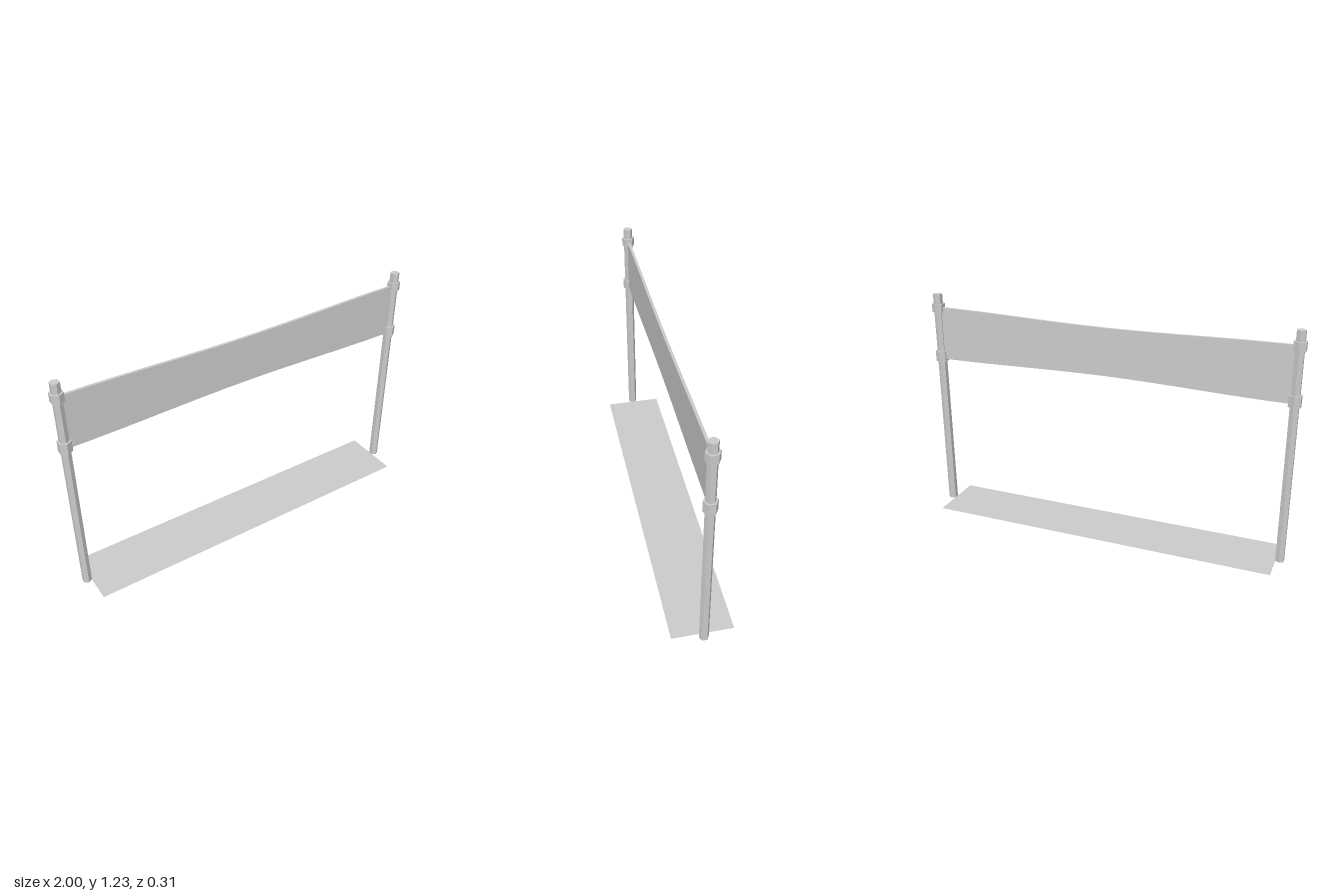
import * as THREE from 'three';

const POLE_X = 0.97;

export function createModel() {
  const model = new THREE.Group();
  const grey = new THREE.MeshStandardMaterial({ color: 0xcccccc, flatShading: true });
  const thin = new THREE.MeshStandardMaterial({ color: 0xcccccc, side: THREE.DoubleSide });

  const add = (name, geometry, material, x, y, parent = model) => {
    const mesh = new THREE.Mesh(geometry, material);
    mesh.name = name;
    mesh.position.set(x, y, 0);
    parent.add(mesh);
    return mesh;
  };

  // Hexagonal poles, each with two collars that hold the banner
  const hexPrism = (radius, height) => new THREE.CylinderGeometry(radius, radius, height, 6);
  for (const [side, sign] of [['left', 1], ['right', -1]]) {
    const post = new THREE.Group();
    post.name = side + 'Post';
    post.position.x = sign * POLE_X;
    model.add(post);
    add(side + 'Pole', hexPrism(0.0245, 1.225), grey, 0, 0.6125, post);
    add(side + 'UpperCollar', hexPrism(0.0345, 0.046), grey, 0, 1.149, post);
    add(side + 'LowerCollar', hexPrism(0.0345, 0.058), grey, 0, 0.878, post);
  }

  // Banner stretched between the poles, pinched gently toward the middle
  const halfWidth = 0.96;
  const banner = new THREE.BoxGeometry(2 * halfWidth, 1, 0.014, 16, 1, 1);
  const pos = banner.attributes.position;
  for (let i = 0; i < pos.count; i++) {
    const pinch = 0.5 + 0.5 * Math.cos((Math.PI * pos.getX(i)) / halfWidth);
    pos.setY(i, pos.getY(i) > 0 ? 1.152 - 0.017 * pinch : 0.862 + 0.019 * pinch);
  }
  banner.computeVertexNormals();
  add('banner', banner, grey, 0, 0);

  // Flat line strip on the floor
  const strip = new THREE.PlaneGeometry(1.9, 0.314).rotateX(-Math.PI / 2);
  add('floorStrip', strip, thin, 0, 0);

  return model;
}
